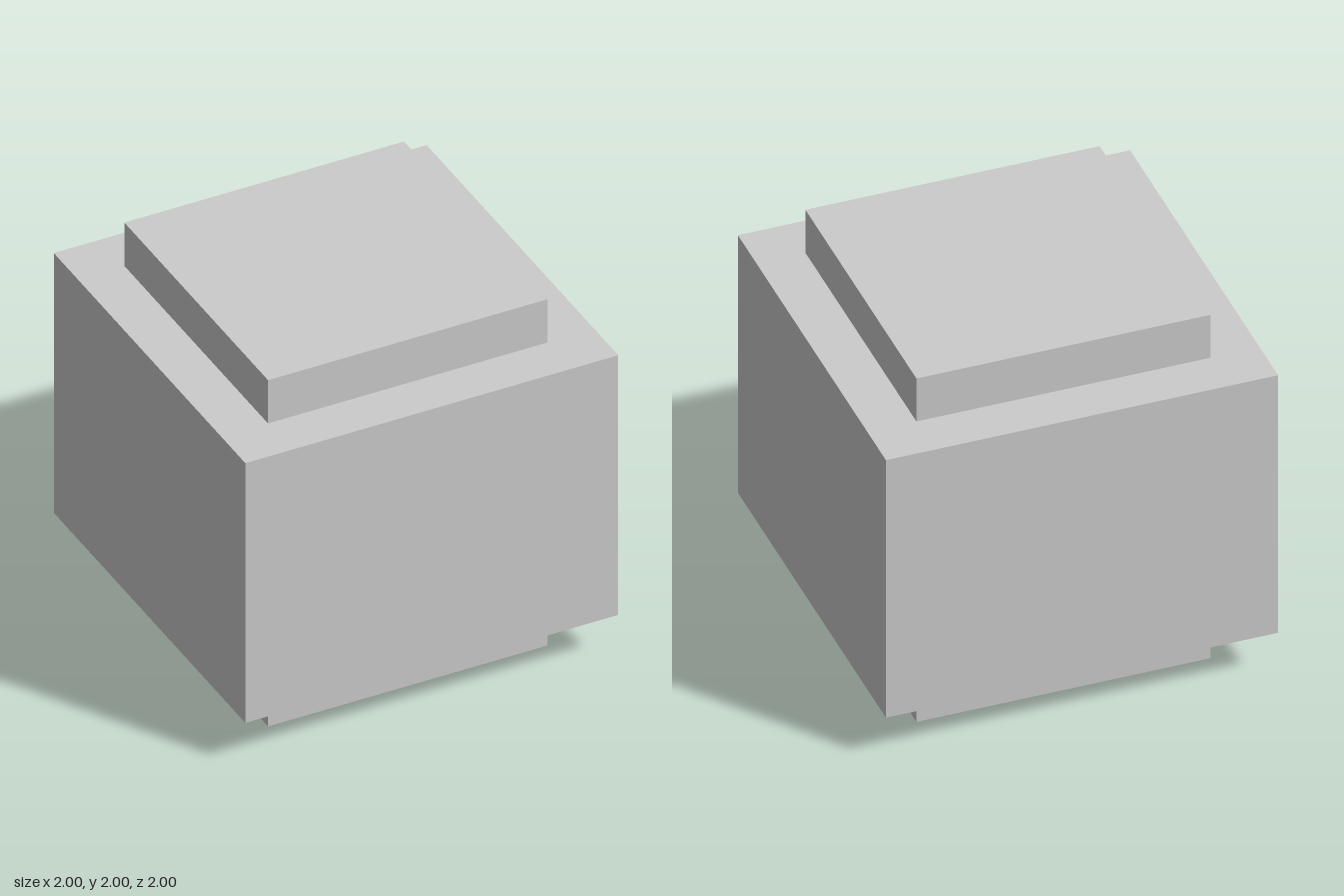
import * as THREE from 'three';

const material = new THREE.MeshStandardMaterial({ color: 0xcccccc, flatShading: true });

// Square block standing on the given height
function block(name, width, height, bottom) {
  const mesh = new THREE.Mesh(new THREE.BoxGeometry(width, height, width), material);
  mesh.name = name;
  mesh.position.y = bottom + height / 2;
  return mesh;
}

export function createModel() {
  const model = new THREE.Group();
  model.name = 'steppedBlock';
  model.add(
    block('basePlate', 1.5, 0.25, 0), // recessed foot
    block('body', 2, 1.5, 0.25), // wide middle
    block('topPlate', 1.5, 0.25, 1.75) // raised cap
  );
  return model;
}
